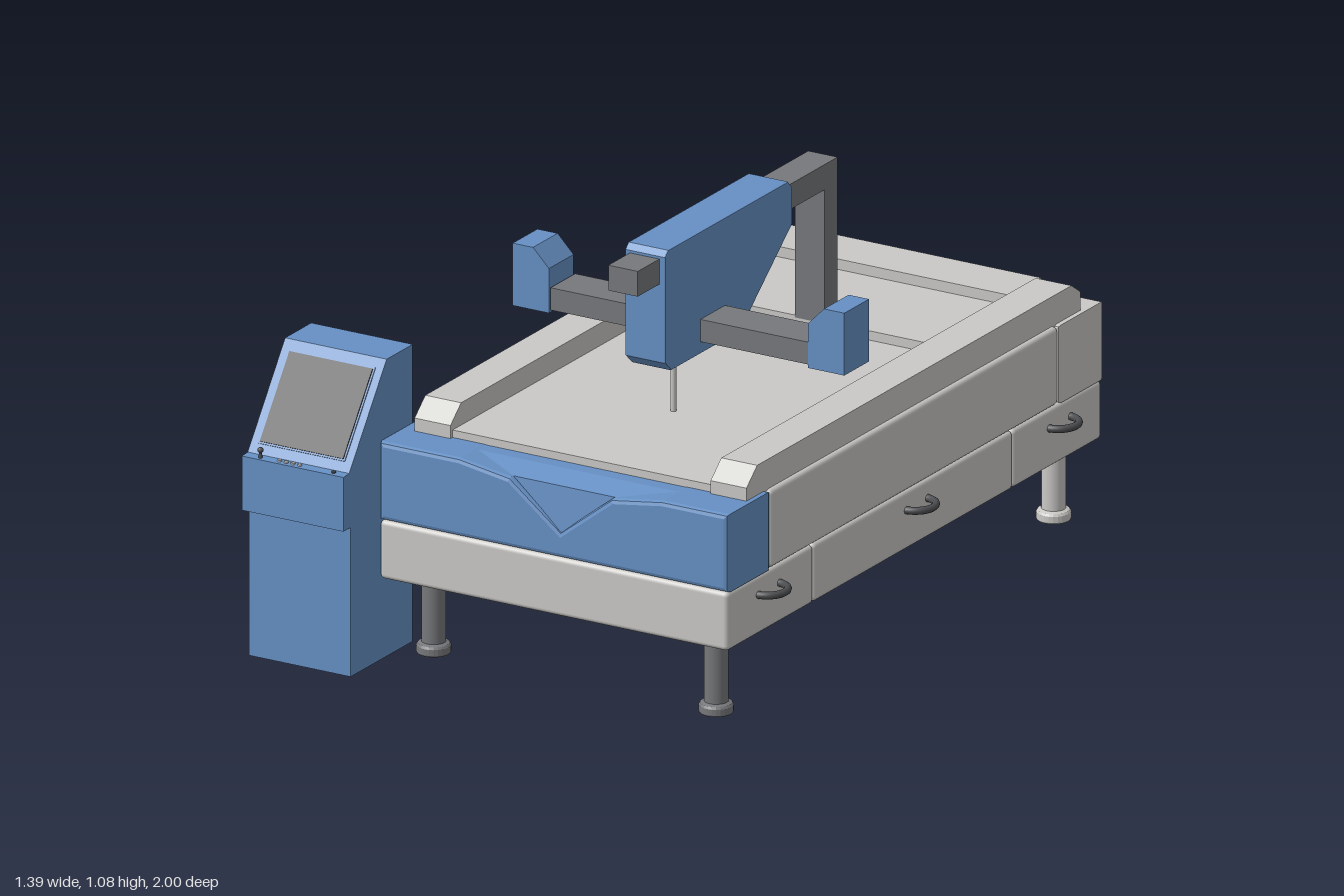
import * as THREE from 'three';
import { RoundedBoxGeometry } from 'three/addons/geometries/RoundedBoxGeometry.js';

const mat = (name, color) => Object.assign(new THREE.MeshStandardMaterial({ color }), { name });

export function createModel() {
  const model = new THREE.Group();
  const blue = mat('blue paint', 0x6690c4);
  const light = mat('light grey paint', 0xcac9c6);
  const steel = mat('grey steel', 0x77787b);
  const dark = mat('dark handle', 0x4c4d50);
  const black = mat('screen black', 0x343434);

  const add = (name, geo, material, parent = model) => {
    const m = new THREE.Mesh(geo, material);
    m.name = name;
    parent.add(m);
    return m;
  };
  // Box given by its extents; r rounds the edges
  const box = (name, material, x0, x1, y0, y1, z0, z1, r = 0, parent = model) => {
    const s = [x1 - x0, y1 - y0, z1 - z0];
    const geo = r ? new RoundedBoxGeometry(...s, 3, r) : new THREE.BoxGeometry(...s);
    geo.translate((x0 + x1) / 2, (y0 + y1) / 2, (z0 + z1) / 2);
    return add(name, geo, material, parent);
  };
  const shape = (pts) => new THREE.Shape(pts.map(([a, b]) => new THREE.Vector2(a, b)));
  // Side profile of [z, y] points, extruded from x0 to x1
  const profile = (name, material, pts, x0, x1, bevel = 0, parent = model) => {
    const geo = new THREE.ExtrudeGeometry(shape(pts), {
      depth: x1 - x0 - 2 * bevel, bevelEnabled: bevel > 0, bevelSize: bevel,
      bevelThickness: bevel, bevelOffset: -bevel, bevelSegments: 2,
    });
    geo.rotateY(-Math.PI / 2).translate(x1 - bevel, 0, 0);
    return add(name, geo, material, parent);
  };

  // Lower base in three drawers, upper base middle
  const X0 = -0.39, X1 = 0.64, CX = 0.125;
  [[0.41, 0.83], [-0.56, 0.41], [-0.99, -0.56]].forEach(([a, b]) =>
    box('lowerBase', light, X0, X1, 0.222, 0.38, a, b, 0.013));
  box('upperBase', light, X0, X1, 0.38, 0.59, -0.78, 0.62, 0.013);

  // End block with a V-shaped dent in its outer top edge
  const endBlock = (name, material, len) => {
    const g = new THREE.Group();
    g.name = name;
    const c = 0.02, h = 0.515, b = 0.012;
    const geo = new THREE.ExtrudeGeometry(shape([
      [-h, 0.38], [h, 0.38], [h, 0.59], [c + 0.3, 0.59], [c + 0.15, 0.567],
      [c, 0.45], [c - 0.15, 0.567], [c - 0.3, 0.59], [-h, 0.59],
    ]), { depth: len - 2 * b, bevelSize: b, bevelThickness: b, bevelOffset: -b, bevelSegments: 2 });
    add('endShell', geo.translate(0, 0, b), material, g);
    profile('dentFloor', material, [[0.012, 0.4], [len - 0.008, 0.4], [len - 0.006, 0.45],
      [len - 0.02, 0.567], [len - 0.085, 0.589], [0.012, 0.589]], c - 0.32, c + 0.32, 0, g);
    model.add(g);
    return g;
  };
  endBlock('frontEnd', blue, 0.21).position.set(CX, 0, 0.62);
  const back = endBlock('backEnd', light, 0.22);
  back.position.set(CX, 0, -0.78);
  back.rotation.y = Math.PI;

  // Legs with round feet
  for (const x of [-0.28, 0.555]) for (const z of [0.745, -0.895]) {
    const pts = [[0, 0.02], [0.043, 0.02], [0.045, 0.024], [0.045, 0.04], [0.041, 0.046],
      [0.031, 0.05], [0.031, 0.235]].map((p) => new THREE.Vector2(...p));
    const leg = new THREE.LatheGeometry(pts, 24).toNonIndexed();
    leg.computeVertexNormals();
    const smooth = new THREE.CylinderGeometry(0.0315, 0.0315, 0.18, 24, 1, true).translate(0, 0.14, 0);
    const m = z > 0 ? steel : light;
    add('foot', leg, m).position.set(x, 0, z);
    add('leg', smooth, m).position.set(x, 0, z);
  }

  // Curved drawer handles
  const handle = (x, z, side) => {
    const m = add('handle', new THREE.TorusGeometry(0.052, 0.01, 10, 20, Math.PI), dark);
    m.rotation.set(Math.PI / 2, 0, -side * Math.PI / 2);
    m.position.set(x, 0.33, z);
  };
  [0.63, -0.09, -0.785].forEach((z) => handle(X1 - 0.004, z, 1));
  [-0.07, -0.785].forEach((z) => handle(X0 + 0.004, z, -1));

  // Work table stepping up to the back
  box('table', light, -0.25, 0.515, 0.585, 0.61, -0.4, 0.705);
  box('rearDeck', light, -0.25, 0.515, 0.585, 0.635, -0.74, -0.4);
  box('rearBar', light, -0.25, 0.52, 0.585, 0.663, -0.89, -0.74);

  // Side rails
  for (const x of [-0.355, 0.52]) {
    profile('rail', light, [[0.715, 0.585], [0.715, 0.625], [0.663, 0.67], [-0.865, 0.67],
      [-0.908, 0.64], [-0.908, 0.585]], x, x + 0.106);
  }

  // Gantry beam and its two end housings
  box('gantryBeam', steel, -0.245, 0.522, 0.785, 0.845, 0.115, 0.235);
  for (const s of [-1, 1]) {
    const pts = [[0.383, 0.777], [0.49, 0.777], [0.49, 0.945], [0.43, 0.945], [0.383, 0.897]]
      .map(([a, b]) => [0.135 + s * a, b]);
    const geo = new THREE.ExtrudeGeometry(shape(pts), { depth: 0.12, bevelEnabled: false });
    add('gantryEnd', geo.translate(0, 0, 0.118), blue);
  }

  // Spindle head, cutter and the overhead arm with its post
  profile('spindleHead', blue, [[0.405, 0.78], [0.375, 0.752], [0.04, 0.752], [-0.213, 0.96],
    [-0.213, 1.06], [-0.193, 1.08], [0.39, 1.08], [0.405, 1.065]], 0.078, 0.198, 0.004);
  add('cutter', new THREE.CylinderGeometry(0.008, 0.008, 0.15, 12), light).position.set(0.155, 0.685, 0.295);
  profile('overheadArm', steel, [[0.51, 0.99], [0.51, 1.058], [-0.462, 1.058], [-0.462, 0.63],
    [-0.397, 0.63], [-0.397, 0.99]], 0.093, 0.18);

  // Control cabinet
  profile('cabinet', blue, [[0.663, 0], [0.965, 0], [0.965, 0.402], [1, 0.402], [1, 0.548],
    [0.972, 0.55], [0.79, 0.8], [0.663, 0.8]], -0.692, -0.392);

  // Screen on the sloping face
  const panel = new THREE.Group();
  panel.name = 'screenPanel';
  panel.position.set(-0.542, 0.675, 0.881);
  panel.rotation.x = -Math.atan2(0.182, 0.25);
  box('screenFrame', blue, -0.128, 0.128, -0.127, 0.127, -0.002, 0.003, 0, panel);
  box('screen', black, -0.123, 0.123, -0.122, 0.122, -0.002, 0.006, 0, panel);
  model.add(panel);

  // Knob and buttons on the console ledge
  add('stick', new THREE.CylinderGeometry(0.003, 0.006, 0.02, 10), dark).position.set(-0.645, 0.557, 0.987);
  add('knob', new THREE.SphereGeometry(0.008, 12, 8), dark).position.set(-0.645, 0.569, 0.987);
  for (const x of [-0.59, -0.57, -0.55, -0.53, -0.43]) {
    add('button', new THREE.CylinderGeometry(0.006, 0.006, 0.006, 12), x < -0.5 ? light : dark)
      .position.set(x, 0.55, 0.985);
  }
  return model;
}
